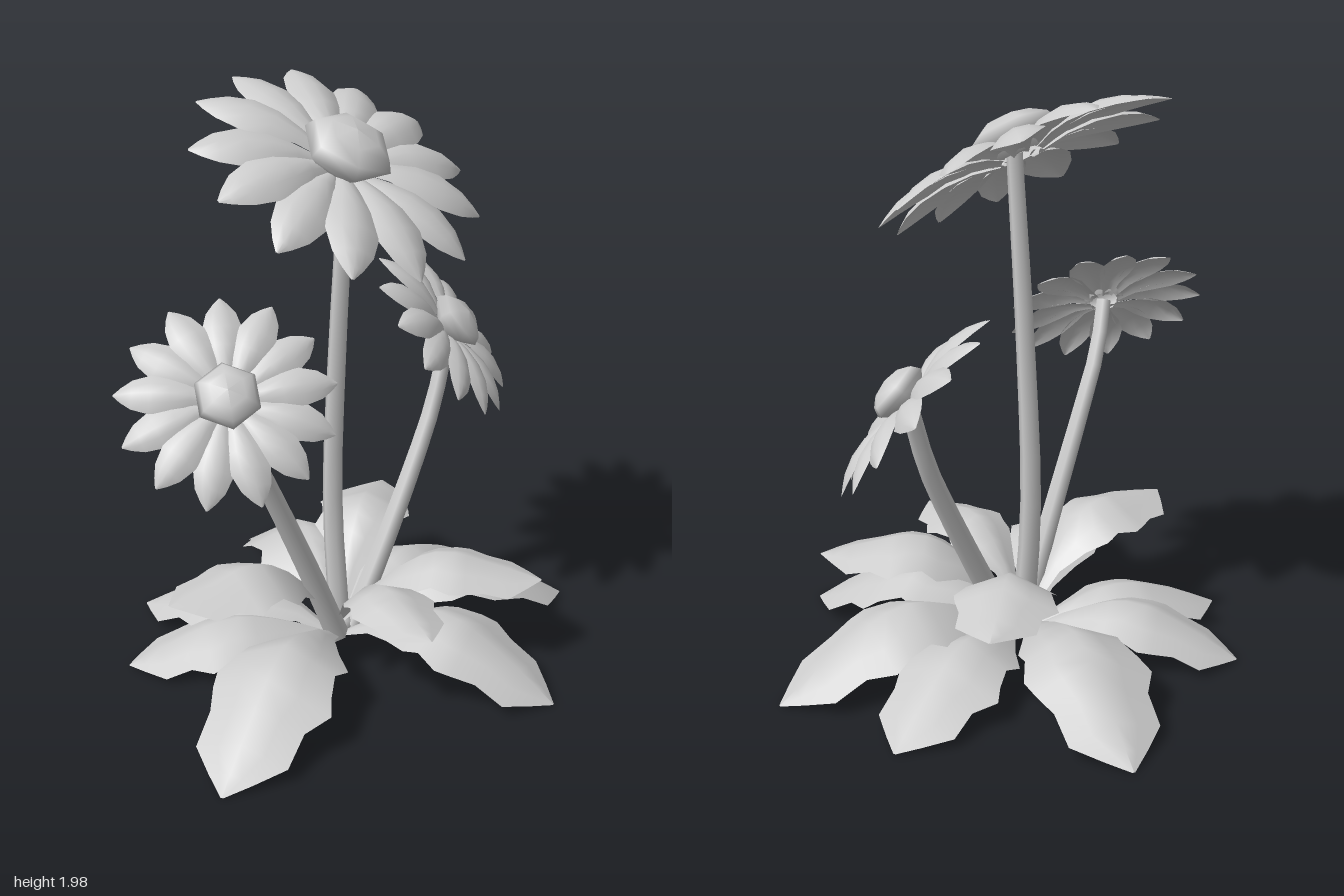
import * as THREE from 'three';

const V = (x, y, z) => new THREE.Vector3(x, y, z);
const UP = V(0, 1, 0);

// Surface through rows of points, every row having the same count
function surface(rows) {
  const n = rows[0].length, index = [];
  for (let i = 0; i < rows.length - 1; i++) {
    for (let j = 0; j < n - 1; j++) {
      const a = i * n + j, b = a + 1, c = a + n, d = c + 1;
      index.push(a, b, d, a, d, c);
    }
  }
  const g = new THREE.BufferGeometry().setFromPoints(rows.flat());
  g.setIndex(index);
  g.computeVertexNormals();
  return g;
}

// Petal running along +z: [distance, height, half width]
function petalGeometry() {
  const profile = [
    [0.07, -0.06, 0.025], [0.16, -0.035, 0.045], [0.25, -0.023, 0.079],
    [0.34, -0.03, 0.09], [0.42, -0.055, 0.068], [0.47, -0.083, 0.034], [0.503, -0.105, 0.004],
  ];
  return surface(profile.map(([r, h, w]) =>
    [-1, -0.5, 0, 0.5, 1].map((s) => V(s * w, h - s * s * w * 0.38, r))));
}

// Roof-shaped leaf with lobed edges, arching from the crown to its tip
function leafGeometry(tip, peak, width, startY) {
  const reach = Math.hypot(tip.x, tip.z);
  const dir = V(tip.x / reach, 0, tip.z / reach);
  const side = V(dir.z, 0, -dir.x);
  const arch = new THREE.CatmullRomCurve3([
    V(0, startY, 0.02), V(0, startY + (peak - startY) * 0.66, reach * 0.25),
    V(0, peak, reach * 0.5), V(0, peak + (tip.y - peak) * 0.4, reach * 0.76), V(0, tip.y, reach),
  ]);
  // [position, left half width, right half width]
  const outline = [
    [0, 0.1, 0.1], [0.18, 0.32, 0.3], [0.31, 0.6, 0.62], [0.41, 0.85, 0.98], [0.48, 0.86, 0.88],
    [0.57, 1.05, 1.0], [0.63, 0.98, 1.12], [0.72, 0.82, 0.84], [0.84, 0.8, 0.8],
    [0.93, 0.38, 0.38], [1, 0.02, 0.02],
  ];
  return surface(outline.map(([t, l, r]) => {
    const p = arch.getPoint(t);
    return [-1, -0.5, 0, 0.5, 1].map((s) => {
      const w = s * width * (s < 0 ? l : r);
      const drop = Math.abs(w) * 0.58 * (1 - 0.5 * t);
      return dir.clone().multiplyScalar(p.z).addScaledVector(side, w)
        .setY(Math.max(0.005, p.y - drop));
    });
  }));
}

// Tapered six-sided stem along a curve
function stemGeometry(points, r0, r1) {
  const curve = new THREE.CatmullRomCurve3(points.map((p) => V(...p)));
  const steps = 10, sides = 6;
  const g = new THREE.TubeGeometry(curve, steps, 1, sides, false);
  const pos = g.attributes.position;
  for (let i = 0; i <= steps; i++) {
    const c = curve.getPointAt(i / steps);
    const r = r0 + (r1 - r0) * (i / steps);
    for (let j = 0; j <= sides; j++) {
      const k = i * (sides + 1) + j;
      const v = V(0, 0, 0).fromBufferAttribute(pos, k).sub(c).multiplyScalar(r).add(c);
      pos.setXYZ(k, v.x, v.y, v.z);
    }
  }
  return g;
}

export function createModel() {
  const model = new THREE.Group();
  model.name = 'floweringPlant';
  const grey = new THREE.MeshStandardMaterial({ color: 0xcccccc, side: THREE.DoubleSide });
  grey.name = 'light grey';

  const add = (parent, name, geometry) => {
    const mesh = new THREE.Mesh(geometry, grey);
    mesh.name = name;
    parent.add(mesh);
    return mesh;
  };

  // Flower heads: a six-sided domed disc in a ring of thirteen petals
  const petal = petalGeometry();
  const disc = new THREE.LatheGeometry(
    [[0.1, -0.07], [0.157, -0.015], [0.135, 0.025], [0.085, 0.055], [0, 0.07]]
      .map(([x, y]) => new THREE.Vector2(x, y)), 6);
  const flowers = [
    { name: 'middleFlower', at: [0.043, 1.83, 0.01], normal: [0, 0.85, 0.52], scale: 1, turn: 0 },
    { name: 'rightFlower', at: [-0.548, 1.17, 0.09], normal: [-0.44, 0.67, 0.6], scale: 0.7, turn: 0.2 },
    { name: 'leftFlower', at: [0.575, 1.117, 0.025], normal: [0.42, 0.64, 0.64], scale: 0.71, turn: 0.1 },
  ];
  for (const f of flowers) {
    const head = new THREE.Group();
    head.name = f.name;
    head.position.set(...f.at);
    head.quaternion.setFromUnitVectors(UP, V(...f.normal).normalize());
    head.scale.setScalar(f.scale);
    add(head, 'flowerDisc', disc).rotation.y = Math.PI / 6;
    for (let i = 0; i < 13; i++) {
      const p = add(head, 'petal', petal);
      p.rotation.y = f.turn - 0.1 + (i / 13) * Math.PI * 2;
      // Alternate petals sit slightly lower so they overlap cleanly
      p.position.y = (i % 2) * -0.01;
    }
    model.add(head);
  }

  // Stems
  add(model, 'middleStem', stemGeometry(
    [[0.03, 0.06, -0.02], [0.033, 0.55, -0.06], [0.04, 1.1, -0.045], [0.05, 1.78, -0.005]], 0.04, 0.027));
  add(model, 'rightStem', stemGeometry(
    [[-0.02, 0.06, 0.02], [-0.15, 0.36, 0.02], [-0.37, 0.83, 0.02], [-0.45, 0.98, 0.03], [-0.53, 1.14, 0.065]], 0.042, 0.028));
  add(model, 'leftStem', stemGeometry(
    [[0.05, 0.06, 0.02], [0.25, 0.43, 0.03], [0.45, 0.82, 0.025], [0.5, 0.95, 0.015], [0.56, 1.1, 0.0]], 0.042, 0.028));

  // Leaves: [tip x, tip y, tip z, peak height, half width, start height]
  const lowerLeaves = [
    [0.865, 0.01, 0.33, 0.265, 0.19, 0.06],
    [0.26, 0.01, 0.79, 0.25, 0.195, 0.06],
    [-0.87, 0.01, 0.4, 0.265, 0.2, 0.06],
    [-0.65, 0.02, -0.38, 0.16, 0.17, 0.05],
    [-0.35, 0.02, -0.68, 0.2, 0.18, 0.05],
    [0.41, 0.01, -0.79, 0.26, 0.2, 0.06],
    [0.82, 0.015, -0.16, 0.2, 0.18, 0.05],
  ];
  const upperLeaves = [
    [-0.13, 0.33, 0.58, 0.39, 0.14, 0.12],
    [0.44, 0.33, 0.57, 0.41, 0.165, 0.11],
    [0.555, 0.355, -0.33, 0.43, 0.165, 0.12],
    [-0.67, 0.39, -0.1, 0.44, 0.17, 0.12],
  ];
  const addLeaves = (name, list) => {
    for (const [x, y, z, peak, width, start] of list) {
      add(model, name, leafGeometry(V(x, y, z), peak, width, start));
    }
  };
  addLeaves('lowerLeaf', lowerLeaves);
  addLeaves('upperLeaf', upperLeaves);

  // Crown where stems and leaves meet
  const crown = add(model, 'crown', new THREE.SphereGeometry(0.045, 8, 6));
  crown.position.set(0.02, 0.08, 0);

  return model;
}
